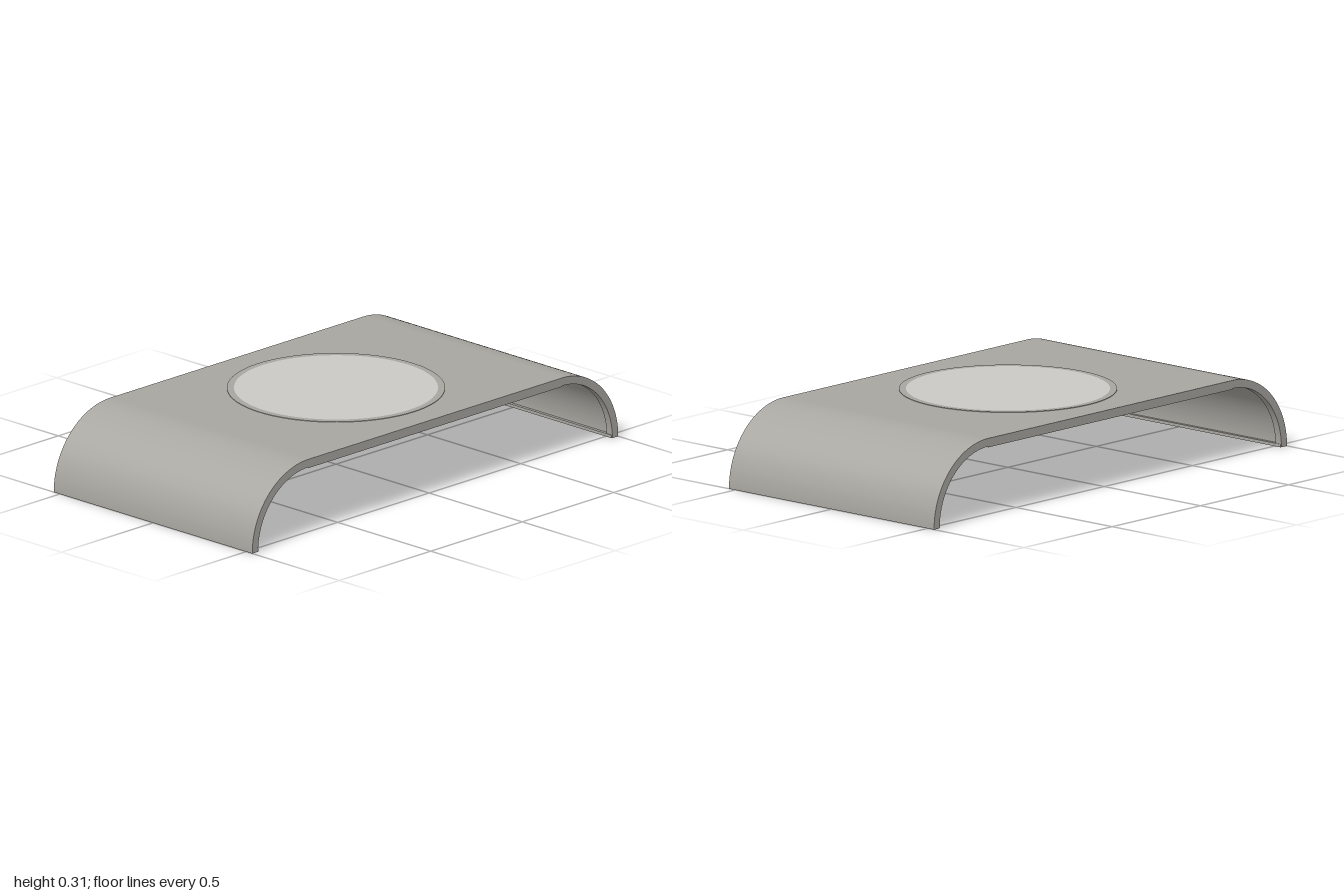
import * as THREE from 'three';

const body = new THREE.MeshStandardMaterial({ color: 0xa8a6a0 });
body.name = 'warm grey';
const pale = new THREE.MeshStandardMaterial({ color: 0xcac9c4 });
pale.name = 'pale grey';

const HEIGHT = 0.308, HALF = 1, DEPTH = 0.533, RIM = 0.03;
const BEND = HALF - HEIGHT; // x where the flat top meets the curved sides

// Arched band: flat top with a quarter-round side at each end
function archBand(thickness, z0, z1) {
  const inner = HEIGHT - thickness;
  const s = new THREE.Shape();
  s.moveTo(HALF, 0);
  s.absarc(BEND, 0, HEIGHT, 0, Math.PI / 2, false);
  s.absarc(-BEND, 0, HEIGHT, Math.PI / 2, Math.PI, false);
  s.lineTo(-BEND - inner, 0);
  s.absarc(-BEND, 0, inner, Math.PI, Math.PI / 2, true);
  s.absarc(BEND, 0, inner, Math.PI / 2, 0, true);
  s.closePath();
  const g = new THREE.ExtrudeGeometry(s, { depth: z1 - z0, bevelEnabled: false, curveSegments: 20 });
  return g.translate(0, 0, z0);
}

// Flat ring lying in the xz plane
function flatRing(outer, inner, y0, y1) {
  const s = new THREE.Shape().absarc(0, 0, outer, 0, Math.PI * 2, false);
  s.holes.push(new THREE.Path().absarc(0, 0, inner, 0, Math.PI * 2, true));
  const g = new THREE.ExtrudeGeometry(s, { depth: y1 - y0, bevelEnabled: false, curveSegments: 48 });
  return g.rotateX(-Math.PI / 2).translate(0, y0, 0);
}

export function createModel() {
  const model = new THREE.Group();
  model.name = 'archedStand';
  const add = (name, geometry, material) => {
    const mesh = new THREE.Mesh(geometry, material);
    mesh.name = name;
    model.add(mesh);
    return mesh;
  };

  // Thin shell between two thicker edge rims
  add('shell', archBand(0.022, -DEPTH + RIM, DEPTH - RIM), body);
  add('frontRim', archBand(0.032, DEPTH - RIM, DEPTH), body);
  add('backRim', archBand(0.032, -DEPTH, -DEPTH + RIM), body);

  for (const side of [1, -1]) {
    // Lip along the foot of each curved side
    const lip = new THREE.BoxGeometry(0.034, 0.012, DEPTH * 2 - 0.002);
    add(side > 0 ? 'leftFootLip' : 'rightFootLip', lip, body).position.set(side * (HALF - 0.018), 0.006, 0);
    // Straight stiffener under the flat part of each rim
    const bar = new THREE.BoxGeometry(BEND * 2, 0.004, RIM);
    add(side > 0 ? 'frontStiffener' : 'backStiffener', bar, body).position.set(0, 0.2745, side * (DEPTH - RIM / 2));
  }

  // Round inlay with a body-coloured collar, showing above and below
  add('inlayCollar', flatRing(0.418, 0.391, 0.278, HEIGHT + 0.002), body);
  const disc = new THREE.CylinderGeometry(0.391, 0.391, HEIGHT + 0.002 - 0.281, 96);
  add('inlayDisc', disc, pale).position.y = (HEIGHT + 0.002 + 0.281) / 2;

  return model;
}
